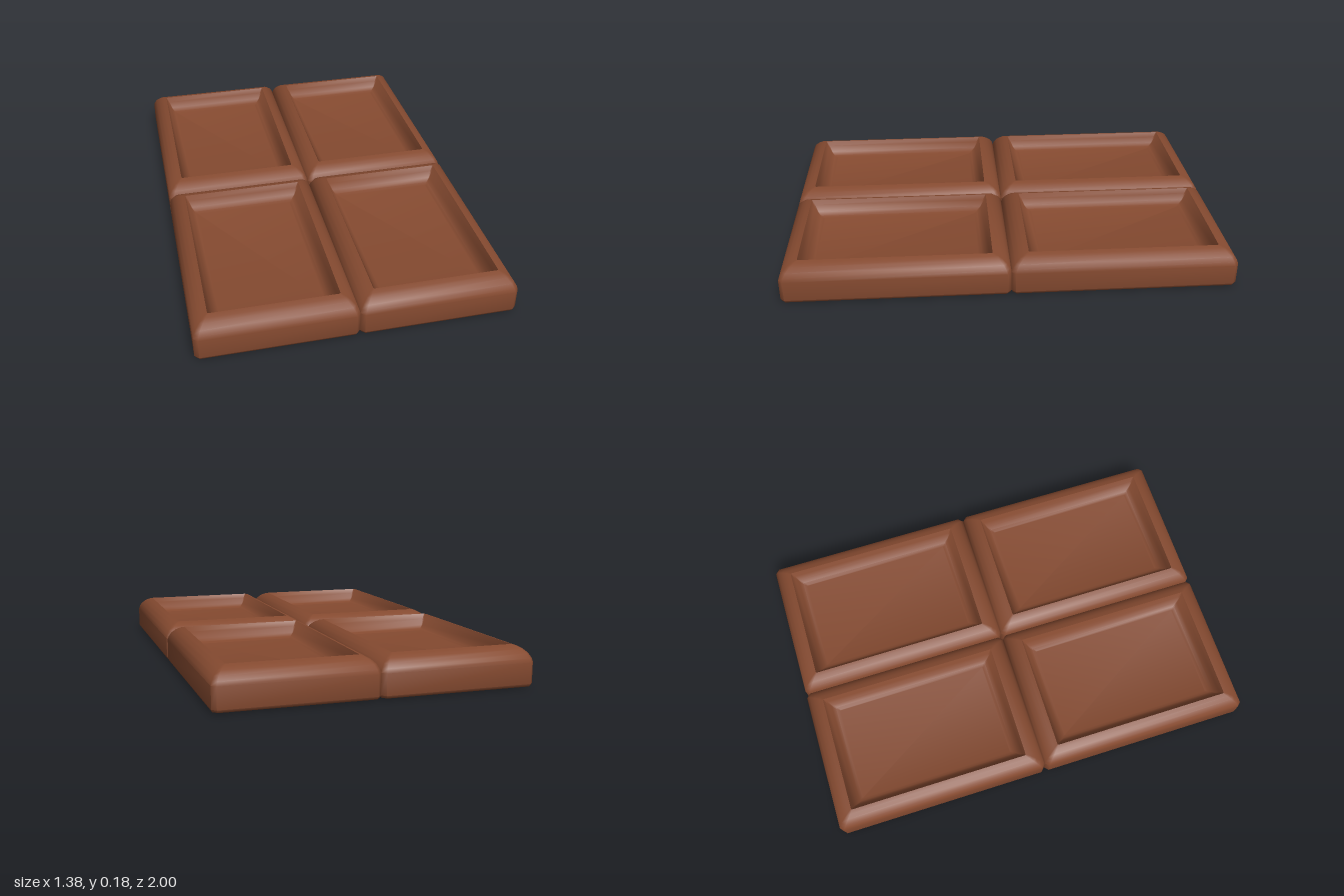
import * as THREE from 'three';
import { toCreasedNormals } from 'three/addons/utils/BufferGeometryUtils.js';

const HALF_X = 0.345, HALF_Z = 0.5;

// Profile from the underside, up the rounded side, over the rim, down to the sunken panel:
// [inset, height, corner chamfer]
const PROFILE = [
  [0.018, 0, 0.012], [0.005, 0.005, 0.016], [0, 0.016, 0.018],
  [0, 0.108, 0.018], [0.005, 0.125, 0.017], [0.016, 0.144, 0.015],
  [0.034, 0.161, 0.012], [0.052, 0.171, 0.008], [0.07, 0.176, 0.004],
  [0.08, 0.152, 0.004], [0.094, 0.124, 0.004], [0.108, 0.108, 0.004], [0.122, 0.102, 0.004],
];

// Chamfered rectangle, counter-clockwise seen from above
function ring([inset, y, c]) {
  const x = HALF_X - inset, z = HALF_Z - inset * 1.13;
  return [
    [x, z - c], [x, c - z], [x - c, -z], [c - x, -z],
    [-x, c - z], [-x, z - c], [c - x, z], [x - c, z],
  ].map(([px, pz]) => [px, y, pz]);
}

function squareGeometry() {
  const positions = PROFILE.flatMap((p) => ring(p).flat());
  const n = 8, last = (PROFILE.length - 1) * n, index = [];
  for (let i = 0; i < last; i += n) {
    for (let j = 0; j < n; j++) {
      const a = i + j, b = i + (j + 1) % n;
      index.push(a, b, b + n, a, b + n, a + n);
    }
  }
  // Flat underside and sunken panel
  for (let j = 1; j < n - 1; j++) {
    index.push(0, j + 1, j, last, last + j, last + j + 1);
  }
  const geometry = new THREE.BufferGeometry();
  geometry.setAttribute('position', new THREE.Float32BufferAttribute(positions, 3));
  geometry.setIndex(index);
  return toCreasedNormals(geometry, 0.85);
}

export function createModel() {
  const model = new THREE.Group();
  model.name = 'chocolateBar';
  const chocolate = new THREE.MeshStandardMaterial({ color: 0x854a30 });
  const geometry = squareGeometry();

  // Four touching squares
  for (const [sx, xName] of [[-1, 'Right'], [1, 'Left']]) {
    for (const [sz, zName] of [[-1, 'back'], [1, 'front']]) {
      const square = new THREE.Mesh(geometry, chocolate);
      square.name = `${zName}${xName}Square`;
      square.position.set(sx * HALF_X, 0, sz * HALF_Z);
      model.add(square);
    }
  }
  return model;
}
